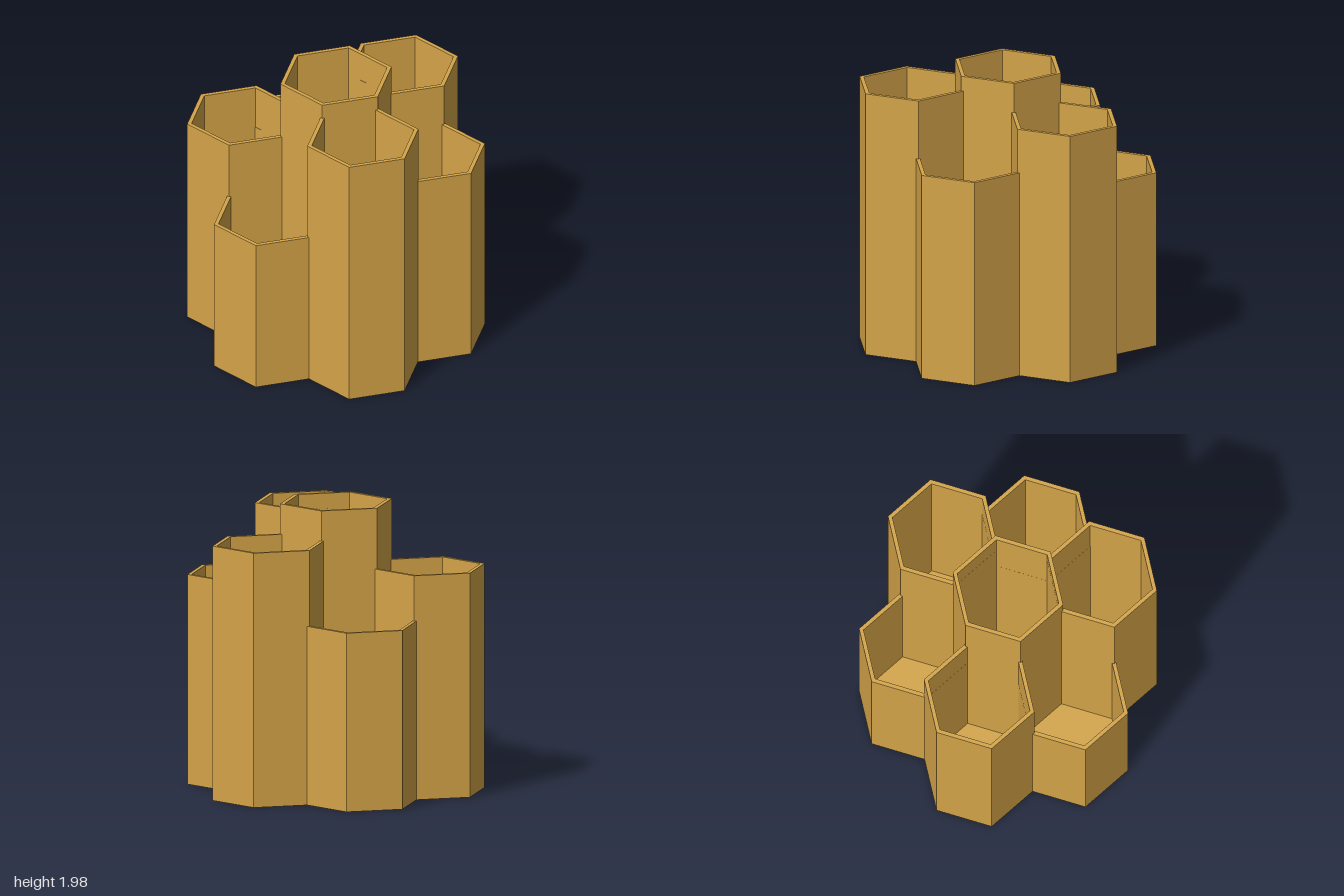
import * as THREE from 'three';

const OUTER = 0.395;   // corner radius of a cell
const INNER = 0.363;   // corner radius of the hollow
const FLOOR = 0.03;    // thickness of the closed bottom
const STEP_X = 0.328;  // half the spacing between cells in a row
const STEP_Z = 0.568;  // spacing between rows

// Open-topped hexagonal cup with corners pointing along z
function cellGeometry(height) {
  const profile = [
    [0, 0], [OUTER, 0], [OUTER, height], [INNER, height], [INNER, FLOOR], [0, FLOOR],
  ].map(([r, y]) => new THREE.Vector2(r, y));
  const geometry = new THREE.LatheGeometry(profile, 6).toNonIndexed();
  geometry.computeVertexNormals(); // flat faces
  return geometry;
}

export function createModel() {
  const model = new THREE.Group();
  model.name = 'honeycombCluster';

  const honey = new THREE.MeshStandardMaterial({ color: 0xd4a448 });
  honey.name = 'honey';

  // name, column (half steps), row, height
  const cells = [
    ['centreCell', 0, 0, 1.975],
    ['leftCell', 2, 0, 1.455],
    ['rightCell', -2, 0, 1.555],
    ['frontLeftCell', 1, 1, 1.87],
    ['frontRightCell', -1, 1, 1.14],
    ['backLeftCell', 1, -1, 1.765],
    ['backRightCell', -1, -1, 1.24],
  ];

  for (const [name, column, row, height] of cells) {
    const cell = new THREE.Mesh(cellGeometry(height), honey);
    cell.name = name;
    cell.position.set(column * STEP_X, 0, row * STEP_Z);
    model.add(cell);
  }
  return model;
}
